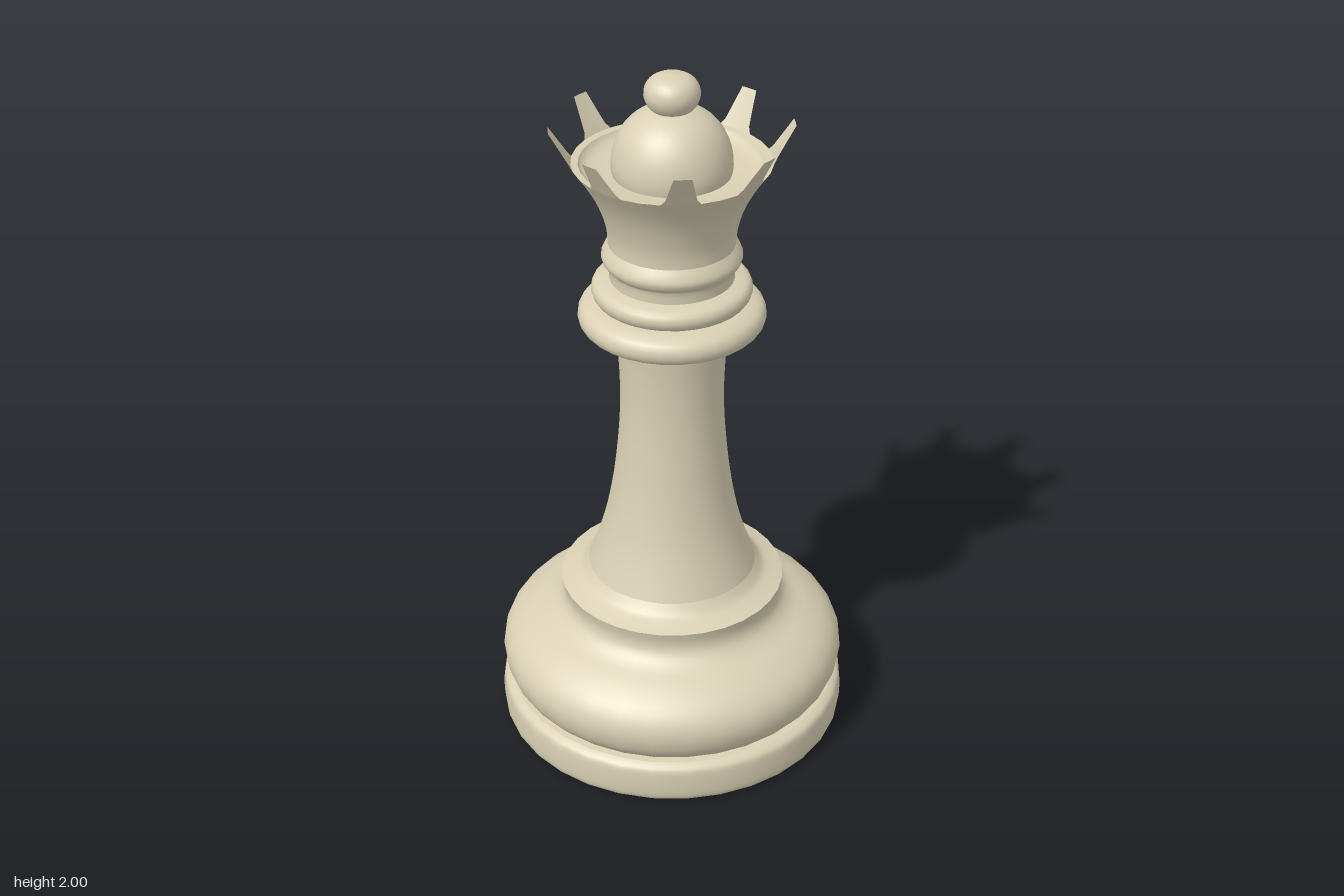
import * as THREE from 'three';

const ivory = new THREE.MeshStandardMaterial({ color: 0xd9d0b4, side: THREE.DoubleSide });
ivory.name = 'ivory';

const SEGMENTS = 32;

// Turned part: a smooth curve through [radius, height] points, listed bottom to top on the outside
function turned(name, points, steps = 3) {
  const pts = points.map(([r, y]) => new THREE.Vector2(r, y));
  const profile = steps > 1 ? new THREE.SplineCurve(pts).getPoints((pts.length - 1) * steps) : pts;
  profile.forEach((p) => { p.x = Math.max(p.x, 0); });
  const mesh = new THREE.Mesh(new THREE.LatheGeometry(profile, SEGMENTS), ivory);
  mesh.name = name;
  return mesh;
}

// One tapering crown point, leaning outward, wide at the rim and blunt at the tip
function crownPoint() {
  const rows = [ // half angle in degrees, radius, height
    [11.25, 0.265, 1.757],
    [8.6, 0.273, 1.772],
    [6.6, 0.292, 1.805],
    [4.2, 0.321, 1.854],
  ];
  const positions = [];
  const index = [];
  rows.forEach(([half, r, y], i) => {
    for (let j = -1; j <= 1; j++) {
      const a = THREE.MathUtils.degToRad(half * j);
      positions.push(r * Math.sin(a), y, r * Math.cos(a));
    }
    if (i === 0) return;
    for (let j = 0; j < 2; j++) {
      const a = (i - 1) * 3 + j;
      index.push(a, a + 1, a + 4, a, a + 4, a + 3);
    }
  });
  const geometry = new THREE.BufferGeometry();
  geometry.setAttribute('position', new THREE.Float32BufferAttribute(positions, 3));
  geometry.setIndex(index);
  geometry.computeVertexNormals();
  return geometry;
}

export function createModel() {
  const model = new THREE.Group();
  model.name = 'chessQueen';

  // Foot
  model.add(turned('underside', [[0, 0], [0.475, 0]], 1));
  model.add(turned('footDisc', [[0.475, 0], [0.492, 0.01], [0.5, 0.035], [0.5, 0.095], [0.493, 0.117], [0.475, 0.128]]));
  model.add(turned('footTop', [[0.475, 0.128], [0.44, 0.13]], 1));
  model.add(turned('baseBulge', [
    [0.455, 0.13], [0.482, 0.165], [0.495, 0.215], [0.486, 0.262], [0.455, 0.302],
    [0.405, 0.335], [0.352, 0.36], [0.322, 0.388], [0.314, 0.42], [0.32, 0.455],
  ]));
  model.add(turned('baseShoulder', [[0.32, 0.455], [0.29, 0.465], [0.262, 0.478], [0.24, 0.505]]));

  // Stem
  model.add(turned('stem', [
    [0.24, 0.505], [0.213, 0.58], [0.187, 0.67], [0.165, 0.79], [0.15, 0.93],
    [0.144, 1.05], [0.147, 1.17], [0.157, 1.276],
  ]));

  // Collars and neck
  model.add(turned('lowerCollar', [
    [0.15, 1.276], [0.225, 1.277], [0.248, 1.288], [0.256, 1.312], [0.246, 1.338], [0.215, 1.353], [0.18, 1.357],
  ]));
  model.add(turned('upperCollar', [
    [0.185, 1.357], [0.207, 1.364], [0.218, 1.388], [0.207, 1.412], [0.168, 1.422],
  ]));
  model.add(turned('neckRing', [
    [0.169, 1.42], [0.171, 1.455], [0.183, 1.468], [0.19, 1.487], [0.183, 1.507], [0.172, 1.525],
  ]));

  // Flaring crown and its hollow
  model.add(turned('crownWall', [
    [0.172, 1.525], [0.174, 1.565], [0.187, 1.615], [0.207, 1.665], [0.234, 1.712], [0.265, 1.757],
  ]));
  model.add(turned('crownRim', [[0.265, 1.757], [0.246, 1.755]], 1));
  model.add(turned('crownBowl', [[0.246, 1.755], [0.235, 1.742], [0.21, 1.731], [0.15, 1.725]]));

  // Ring of eight crown points
  const points = new THREE.Group();
  points.name = 'crownPoints';
  const pointGeometry = crownPoint();
  for (let i = 0; i < 8; i++) {
    const point = new THREE.Mesh(pointGeometry, ivory);
    point.name = 'crownPoint';
    point.rotation.y = ((i - 0.25) * Math.PI) / 4;
    points.add(point);
  }
  model.add(points);

  // Dome and finial
  model.add(turned('dome', [
    [0.157, 1.722], [0.161, 1.755], [0.153, 1.802], [0.133, 1.845], [0.103, 1.878], [0.065, 1.9], [0.04, 1.907],
  ]));
  model.add(turned('finial', [
    [0.048, 1.9], [0.064, 1.915], [0.074, 1.943], [0.067, 1.973], [0.043, 1.993], [0, 2],
  ]));

  return model;
}
